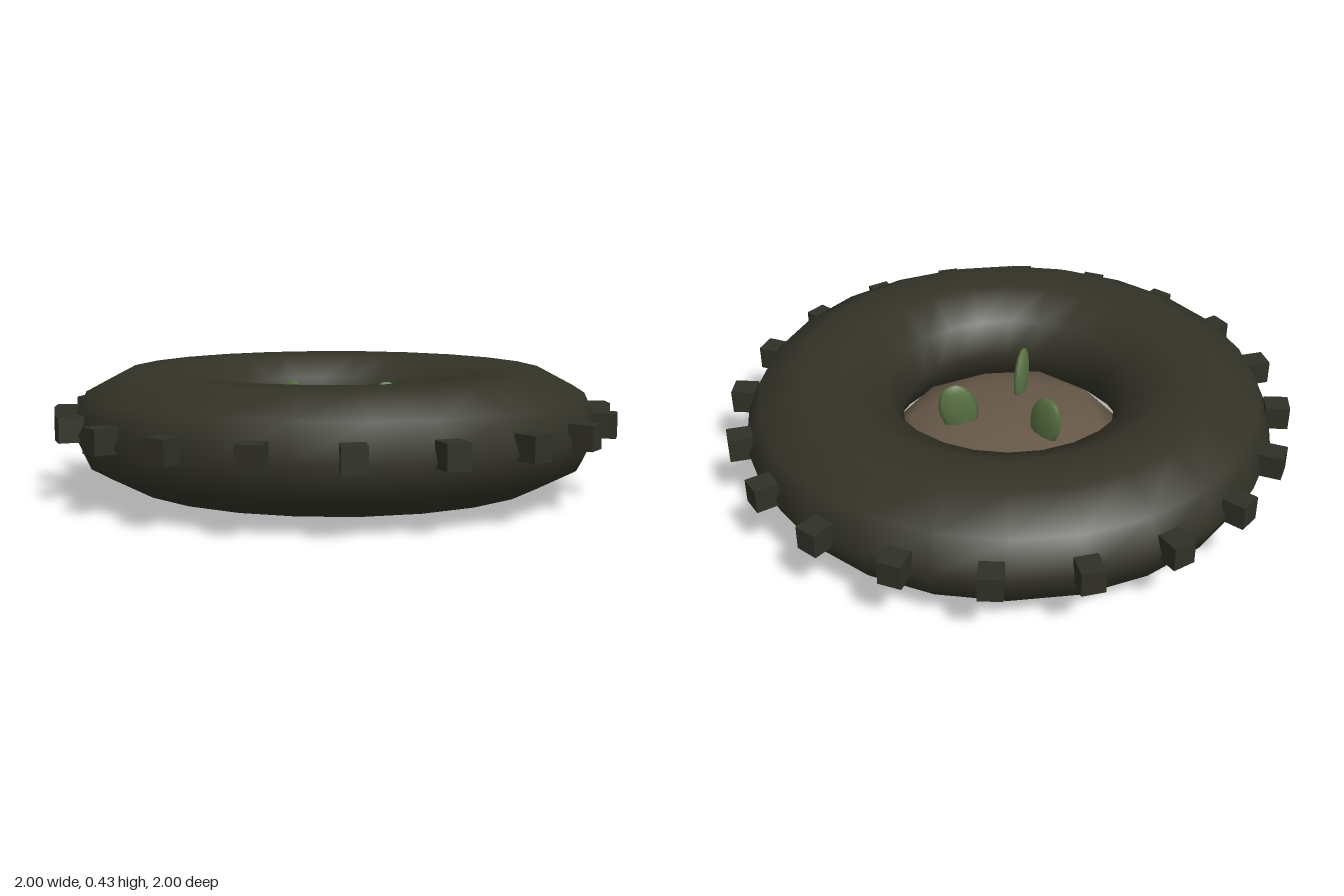
import * as THREE from 'three';
import { mergeVertices } from 'three/addons/utils/BufferGeometryUtils.js';

const flat = (name, color) => new THREE.MeshStandardMaterial({ name, color });

export function createModel() {
  const group = new THREE.Group();
  group.name = 'tirePlanter';
  const rubber = flat('rubber', 0x323227);
  const treadRubber = flat('treadRubber', 0x2f3026);
  const earth = flat('earth', 0x665848);
  const green = flat('green', 0x587042);

  const add = (name, geometry, material, parent = group) => {
    const mesh = new THREE.Mesh(geometry, material);
    mesh.name = name;
    parent.add(mesh);
    return mesh;
  };

  // Flattened tire lying on its side
  const tire = add('tire', new THREE.TorusGeometry(0.66, 0.28, 10, 24), rubber);
  tire.rotation.x = -Math.PI / 2;
  tire.scale.z = 0.73;
  tire.position.y = 0.235;

  // Tread blocks around the rim
  const block = new THREE.BoxGeometry(0.085, 0.085, 0.08);
  for (let i = 0; i < 20; i++) {
    const angle = (i / 20) * Math.PI * 2;
    const cleat = add('treadBlock', block, treadRubber);
    cleat.position.set(Math.cos(angle) * 0.9575, 0.257, -Math.sin(angle) * 0.9575);
    cleat.rotation.y = angle;
  }

  // Lumpy soil mound filling the hole
  let mound = new THREE.IcosahedronGeometry(1, 1);
  mound.deleteAttribute('normal');
  mound.deleteAttribute('uv');
  mound = mergeVertices(mound);
  const p = mound.attributes.position;
  for (let i = 0; i < p.count; i++) {
    const x = p.getX(i), y = p.getY(i), z = p.getZ(i);
    const lump = 1 + 0.03 * Math.sin(4 * x - 3 * z + 2 * y) * Math.hypot(x, z);
    p.setXYZ(i, x * 0.42 * lump, y * 0.115 * lump, z * 0.42 * lump);
  }
  mound.computeVertexNormals();
  add('soil', mound, earth).position.y = 0.118;

  // Three sprouting leaves, leaning outward
  const leafShape = new THREE.SphereGeometry(1, 10, 8).scale(0.07, 0.105, 0.024);
  for (let i = 0; i < 3; i++) {
    const sprout = new THREE.Group();
    sprout.name = 'sprout';
    sprout.rotation.y = (i / 3) * Math.PI * 2;
    group.add(sprout);
    const leaf = add('leaf', leafShape, green, sprout);
    leaf.position.set(0.185, 0.27, 0);
    leaf.rotation.z = -0.3;
  }
  return group;
}
